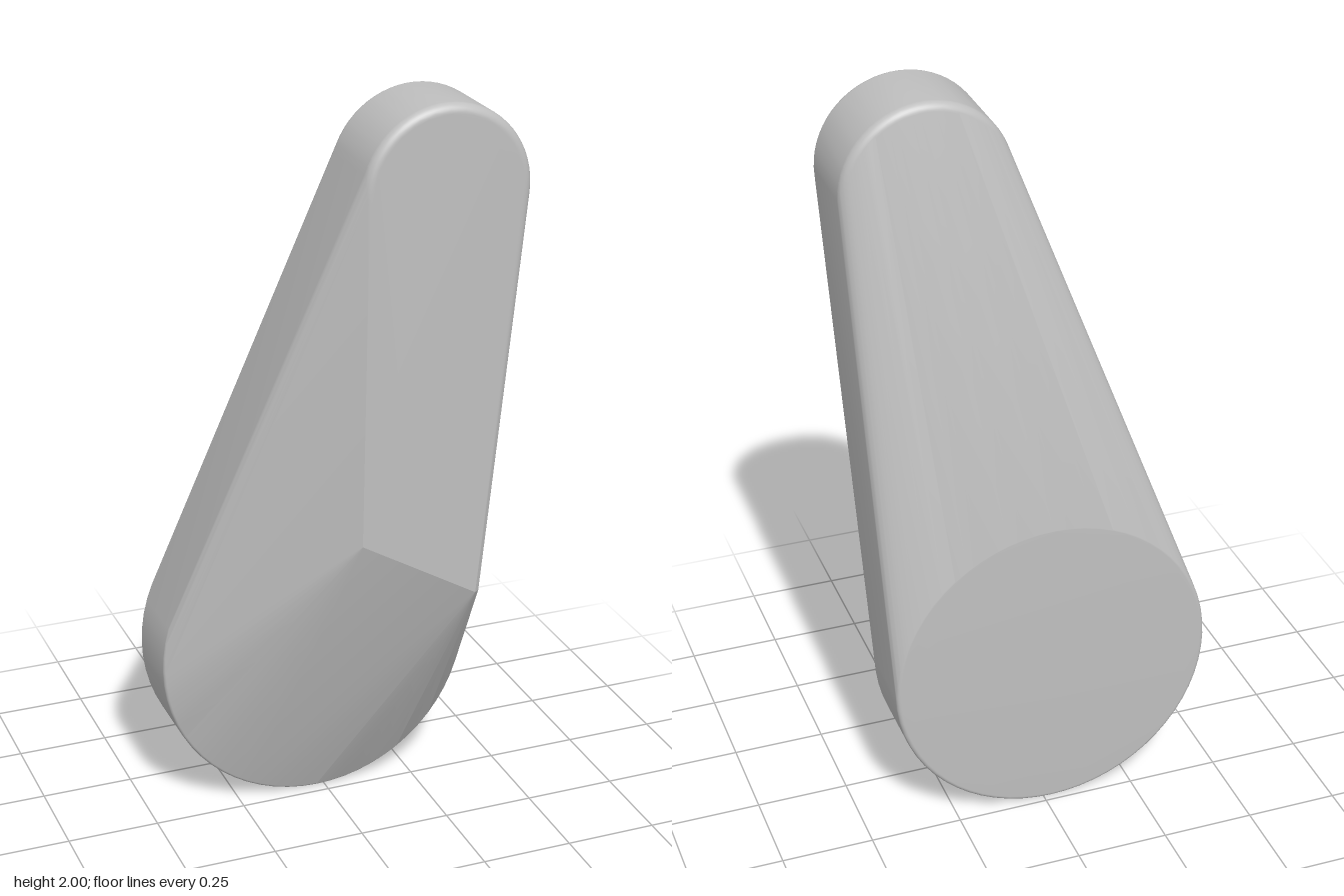
import * as THREE from 'three';
import { ConvexGeometry } from 'three/addons/geometries/ConvexGeometry.js';
import { toCreasedNormals } from 'three/addons/utils/BufferGeometryUtils.js';

const UNIT = 100; // built large so fine rounded edges keep distinct normals

// Points of a disc with rounded rims, its axis along z
function roundedDisc(cx, cy, radius, zBack, zFront, bevel) {
  const points = [];
  const segments = 64, steps = 10;
  for (const side of [-1, 1]) {
    const zRim = side < 0 ? zBack + bevel : zFront - bevel;
    for (let j = 0; j <= steps; j++) {
      const t = (j / steps) * Math.PI / 2;
      const r = radius - bevel + bevel * Math.cos(t);
      const z = zRim + side * bevel * Math.sin(t);
      for (let i = 0; i < segments; i++) {
        const a = (i / segments) * Math.PI * 2;
        points.push(new THREE.Vector3(cx + r * Math.cos(a), cy + r * Math.sin(a), z));
      }
    }
  }
  return points;
}

export function createModel() {
  const group = new THREE.Group();
  group.name = 'taperedLever';
  const grey = new THREE.MeshStandardMaterial({ color: 0xbfbfbf });
  grey.name = 'grey';

  const points = [
    // large lower end, set back
    ...roundedDisc(-0.022, 0.438, 0.438, -0.237, -0.028, 0.012),
    // small upper end, set forward
    ...roundedDisc(0.228, 1.772, 0.228, -0.012, 0.237, 0.025),
    // corners of the front ridge
    new THREE.Vector3(0.003, 0.85, 0.237),
    new THREE.Vector3(0.325, 0.663, 0.237),
    new THREE.Vector3(0.338, 0.663, 0.228),
  ].map((p) => p.multiplyScalar(UNIT));

  // One skin stretched over both ends, with crisp ridges
  const geometry = toCreasedNormals(new ConvexGeometry(points), 0.18);
  geometry.scale(1 / UNIT, 1 / UNIT, 1 / UNIT);
  const body = new THREE.Mesh(geometry, grey);
  body.name = 'leverBody';
  group.add(body);
  return group;
}
